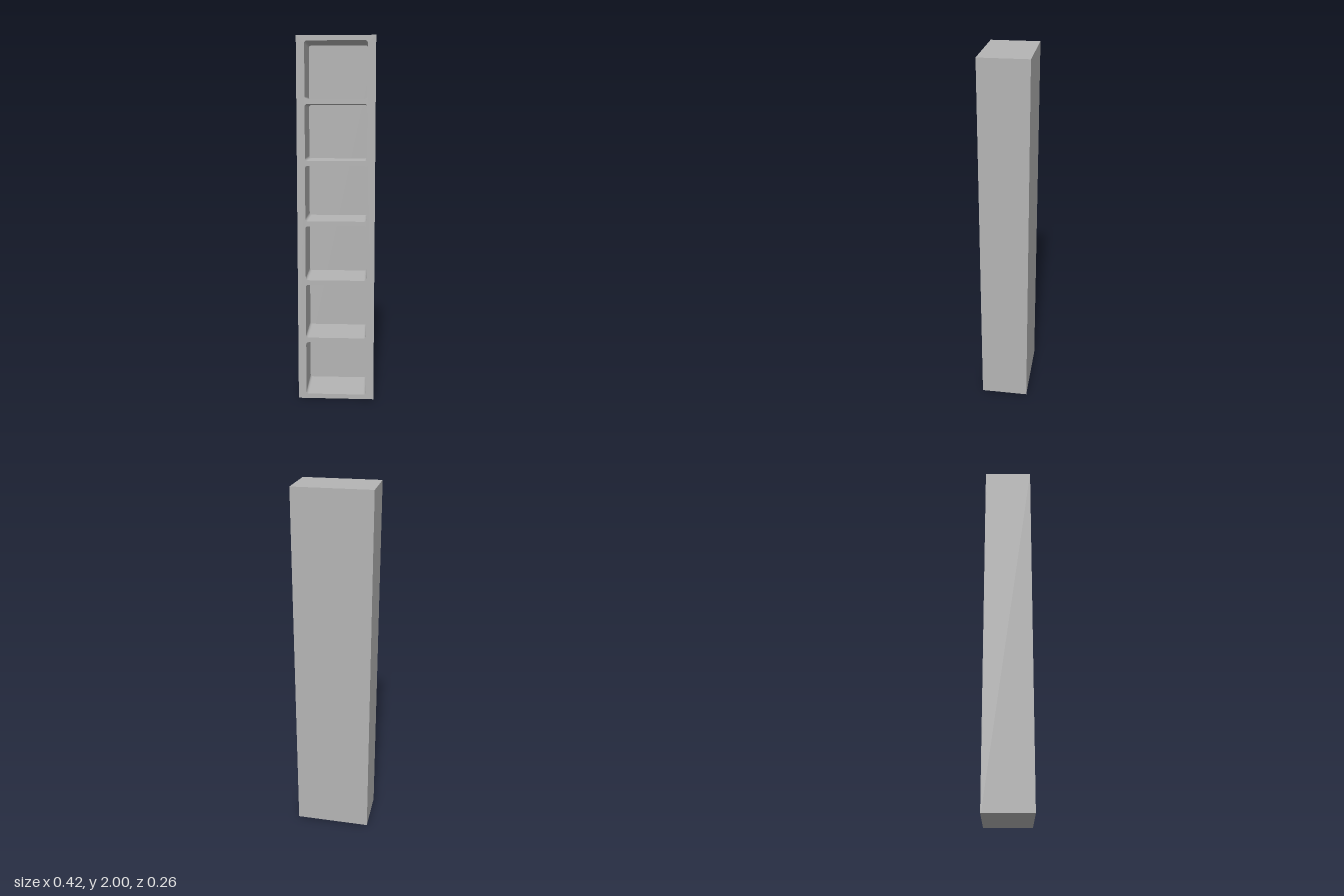
import * as THREE from 'three';

const W = 0.422, H = 2, D = 0.264, BACK = 0.004;
const CELLS = 6, CELL_W = 0.334, CELL_H = 0.302, PITCH = 0.329, FIRST = 0.0265, R = 0.014;

// Rounded rectangle outline for one cubby opening
function roundedRect(x, y, w, h, r) {
  const p = new THREE.Path();
  p.moveTo(x + r, y);
  p.lineTo(x + w - r, y);
  p.absarc(x + w - r, y + r, r, -Math.PI / 2, 0, false);
  p.lineTo(x + w, y + h - r);
  p.absarc(x + w - r, y + h - r, r, 0, Math.PI / 2, false);
  p.lineTo(x + r, y + h);
  p.absarc(x + r, y + h - r, r, Math.PI / 2, Math.PI, false);
  p.lineTo(x, y + r);
  p.absarc(x + r, y + r, r, Math.PI, Math.PI * 1.5, false);
  return p;
}

export function createModel() {
  const group = new THREE.Group();
  group.name = 'cubbyShelf';
  const grey = new THREE.MeshStandardMaterial({ color: 0xb4b4b4 });
  grey.name = 'grey';

  // Frame with a column of six openings
  const outline = new THREE.Shape([
    new THREE.Vector2(-W / 2, 0), new THREE.Vector2(W / 2, 0),
    new THREE.Vector2(W / 2, H), new THREE.Vector2(-W / 2, H),
  ]);
  for (let i = 0; i < CELLS; i++) {
    outline.holes.push(roundedRect(-CELL_W / 2, FIRST + i * PITCH, CELL_W, CELL_H, R));
  }
  const frame = new THREE.Mesh(
    new THREE.ExtrudeGeometry(outline, { depth: D - BACK, bevelEnabled: false, curveSegments: 6 }), grey);
  frame.position.z = -D / 2 + BACK;
  frame.name = 'frame';
  group.add(frame);

  // Thin panel closing the back of every cubby
  const back = new THREE.Mesh(new THREE.BoxGeometry(W, H, BACK), grey);
  back.position.set(0, H / 2, -D / 2 + BACK / 2);
  back.name = 'backPanel';
  group.add(back);

  return group;
}
